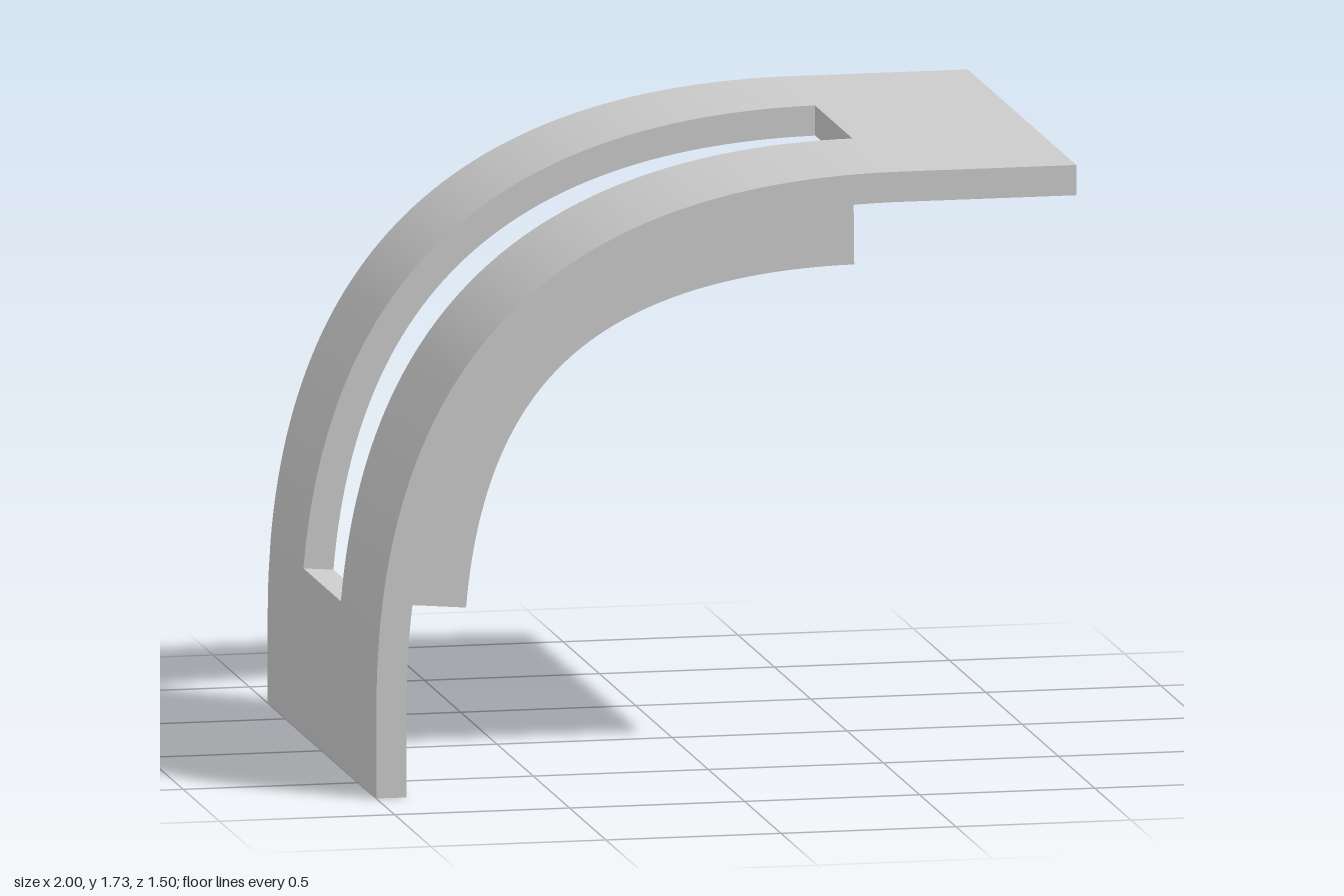
import * as THREE from 'three';
import { toCreasedNormals } from 'three/addons/utils/BufferGeometryUtils.js';

const TOP = 1.727, HALF_WIDTH = 0.748, THICK = 0.086;
const T0 = 0.077, T1 = 0.99, STEPS = 56;      // stretch of the bend cut by the window
const WIN_BACK = -0.296, WIN_FRONT = 0.229;

// Outer profile of the bend
const bend = new THREE.CubicBezierCurve(
  new THREE.Vector2(-1, 0.25), new THREE.Vector2(-1, 1.215),
  new THREE.Vector2(-0.52, TOP), new THREE.Vector2(0.5, TOP));

// Profile station: a point and its inward normal
function station(t) {
  const d = bend.getTangent(t);
  return { p: bend.getPoint(t), n: new THREE.Vector2(d.y, -d.x) };
}

// Solid of given depth below the profile, split into cells along the profile and z.
// Walls are made only where a kept cell meets an empty one.
function sweptSolid(stations, zs, depth, keep = () => true) {
  const pos = [];
  const rows = stations.length - 1, cols = zs.length - 1;
  const solid = (i, j) => i >= 0 && j >= 0 && i < rows && j < cols && keep(i, j);
  const at = (i, j, d) => {
    const { p, n } = stations[i];
    return [p.x + n.x * d, p.y + n.y * d, zs[j]];
  };
  const quad = (a, b, c, d) => pos.push(...a, ...b, ...c, ...a, ...c, ...d);
  for (let i = 0; i < rows; i++) for (let j = 0; j < cols; j++) {
    if (!solid(i, j)) continue;
    const o = (a, b) => at(i + a, j + b, 0), n = (a, b) => at(i + a, j + b, depth);
    quad(o(0, 0), o(0, 1), o(1, 1), o(1, 0));
    quad(n(0, 0), n(1, 0), n(1, 1), n(0, 1));
    if (!solid(i - 1, j)) quad(o(0, 0), n(0, 0), n(0, 1), o(0, 1));
    if (!solid(i + 1, j)) quad(o(1, 0), o(1, 1), n(1, 1), n(1, 0));
    if (!solid(i, j - 1)) quad(o(0, 0), o(1, 0), n(1, 0), n(0, 0));
    if (!solid(i, j + 1)) quad(o(0, 1), n(0, 1), n(1, 1), o(1, 1));
  }
  const g = new THREE.BufferGeometry();
  g.setAttribute('position', new THREE.Float32BufferAttribute(pos, 3));
  return toCreasedNormals(g, Math.PI / 6);
}

export function createModel() {
  const group = new THREE.Group();
  group.name = 'curvedBracket';
  const material = new THREE.MeshStandardMaterial({ color: 0xcccccc });
  const add = (name, geometry) => {
    const mesh = new THREE.Mesh(geometry, material);
    mesh.name = name;
    group.add(mesh);
  };

  const windowRun = [];
  for (let k = 0; k <= STEPS; k++) windowRun.push(station(T0 + (T1 - T0) * k / STEPS));

  // Bent plate: straight leg, bend with a window, flat top
  const foot = { p: new THREE.Vector2(-1, 0), n: new THREE.Vector2(1, 0) };
  const lip = { p: new THREE.Vector2(1, TOP), n: new THREE.Vector2(0, -1) };
  const before = [foot, station(0), station(T0 / 2)];
  const run = [...before, ...windowRun, station(1), lip];
  const first = before.length, last = first + STEPS;
  add('bentPlate', sweptSolid(run, [-HALF_WIDTH, WIN_BACK, WIN_FRONT, HALF_WIDTH], THICK,
    (i, j) => !(j === 1 && i >= first && i < last)));

  // Thin curved rib hanging along the front edge of the window
  add('windowRib', sweptSolid(windowRun, [WIN_FRONT - 0.009, WIN_FRONT], 0.357));
  return group;
}
